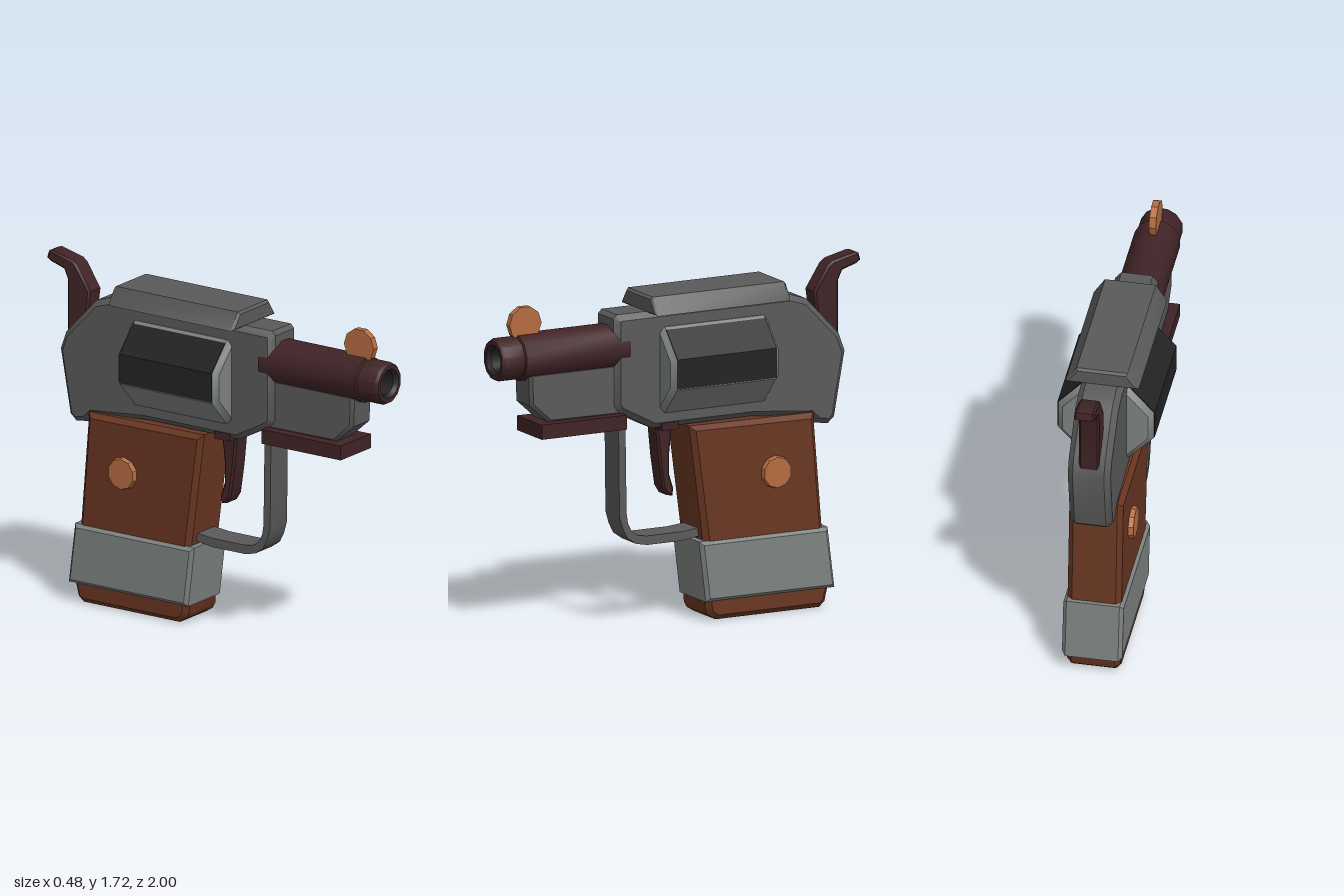
import * as THREE from 'three';
import { toCreasedNormals } from 'three/addons/utils/BufferGeometryUtils.js';

const mat = (name, color) => {
  const m = new THREE.MeshStandardMaterial({ color });
  m.name = name;
  return m;
};

// Centred, chamfered extrusion along z; the bevel stays inside the outline
function extrude(points, depth, bevel) {
  const shape = new THREE.Shape(points.map(([x, y]) => new THREE.Vector2(x, y)));
  const g = new THREE.ExtrudeGeometry(shape, {
    depth: depth - 2 * bevel, bevelEnabled: bevel > 0, bevelThickness: bevel,
    bevelSize: bevel, bevelOffset: -bevel, bevelSegments: 1,
  });
  return g.translate(0, 0, bevel - depth / 2);
}

// Side outline given as [z, y], extruded across the width
const side = (points, width, bevel) => extrude(points, width, bevel).rotateY(-Math.PI / 2);

// Twelve-sided turned part along z, profile given as [radius, z]
const turned = (points) => new THREE.LatheGeometry(points.map(([r, z]) => new THREE.Vector2(r, z)), 12)
  .rotateY(Math.PI / 12).rotateX(Math.PI / 2);

export function createModel() {
  const model = new THREE.Group();
  model.name = 'pistol';
  const steel = mat('dark steel', 0x5a5a5a);
  const silver = mat('light steel', 0x7d8381);
  const wood = mat('wood', 0x693622);
  const copper = mat('copper', 0xb46c40);
  const maroon = mat('dark brown metal', 0x402326);
  const black = mat('black', 0x232323);

  const add = (name, geometry, material, x = 0, y = 0, z = 0) => {
    const mesh = new THREE.Mesh(toCreasedNormals(geometry, 0.6), material);
    mesh.name = name;
    mesh.position.set(x, y, z);
    model.add(mesh);
    return mesh;
  };

  // Frame and the parts fixed to it
  add('frame', side([[0.36, 1.56], [0.38, 1.54], [0.38, 1.11], [0.36, 1.08], [0.17, 0.98],
    [-0.38, 0.98], [-0.69, 0.95], [-0.73, 0.91], [-0.80, 0.90], [-0.835, 0.93], [-0.893, 1.25],
    [-0.86, 1.34], [-0.68, 1.53], [-0.59, 1.56]], 0.21, 0.028), steel);
  add('topPlate', extrude([[-0.18, 1.553], [0.18, 1.553], [0.125, 1.638], [-0.125, 1.638]], 0.745, 0.012),
    steel, 0, 0, -0.173);
  add('underBarrel', side([[0.84, 1.32], [0.835, 1.16], [0.73, 1.065], [0.3, 1.06], [0.3, 1.32]], 0.16, 0.015), steel);
  add('lowerRail', new THREE.BoxGeometry(0.25, 0.072, 0.47), maroon, 0, 1.035, 0.565);

  // Barrel, bore and front sight
  add('barrel', turned([[0, 0.3], [0.115, 0.3], [0.115, 0.875], [0.105, 0.88], [0.105, 0.985],
    [0.095, 1], [0.075, 1]]), maroon, 0, 1.39, 0);
  add('bore', turned([[0.075, 1], [0.06, 0.98], [0.058, 0.88], [0, 0.88]]), black, 0, 1.39, 0);
  add('frontSight', new THREE.CylinderGeometry(0.088, 0.088, 0.034, 10).rotateZ(Math.PI / 2),
    copper, 0, 1.553, 0.83);

  // Octagonal cylinder with dark panels on its upper sides
  add('cylinder', extrude([[0.235, 1.19], [0.235, 1.34], [0.11, 1.48], [-0.11, 1.48],
    [-0.235, 1.34], [-0.235, 1.19], [-0.11, 1.055], [0.11, 1.055]], 0.595, 0.025), silver, 0, 0, -0.158);
  for (const s of [1, -1]) {
    add('cylinderPanel', extrude([[0.239, 1.195], [0.239, 1.342], [0.126, 1.469],
      [0.12, 1.462], [0.232, 1.339], [0.232, 1.195]].map(([x, y]) => [s * x, y]), 0.545, 0), black, 0, 0, -0.158);
  }

  // Hammer
  add('hammer', side([[-0.743, 1.55], [-0.82, 1.67], [-0.845, 1.69], [-0.97, 1.72], [-0.99, 1.715],
    [-1, 1.68], [-0.98, 1.665], [-0.9, 1.64], [-0.877, 1.59], [-0.877, 1.28], [-0.76, 1.3], [-0.76, 1.42]],
  0.1, 0.01), maroon);

  // Trigger and guard
  add('trigger', side([[0.13, 1], [0.112, 0.82], [0.09, 0.67], [0.065, 0.63], [0.035, 0.625],
    [0.03, 0.66], [0.052, 0.73], [0.052, 0.84], [0.035, 1]], 0.1, 0.01), maroon);
  add('triggerBase', new THREE.BoxGeometry(0.2, 0.04, 0.09), maroon, 0, 0.985, 0.08);
  add('triggerGuard', side([[0.348, 1.07], [0.342, 0.56], [0.325, 0.5], [0.3, 0.45], [0.25, 0.415],
    [0.19, 0.403], [0, 0.403], [-0.12, 0.42], [-0.12, 0.46], [0, 0.448], [0.19, 0.448],
    [0.24, 0.455], [0.275, 0.48], [0.295, 0.52], [0.303, 0.57], [0.31, 1.07]], 0.14, 0), steel);

  // Grip, band and medallions
  add('grip', side([[-0.02, 0.975], [-0.096, 0.4], [-0.11, 0.06], [-0.125, 0.03], [-0.165, 0.005],
    [-0.735, 0.005], [-0.765, 0.03], [-0.785, 0.11], [-0.75, 0.4], [-0.703, 0.97]], 0.265, 0.025), wood);
  add('gripBand', side([[-0.063, 0.402], [-0.1, 0.1], [-0.808, 0.1], [-0.77, 0.402]], 0.296, 0.018), silver);
  for (const s of [1, -1]) {
    add('medallion', new THREE.CylinderGeometry(0.076, 0.085, 0.04, 10)
      .rotateY(Math.PI / 10).rotateZ(-s * Math.PI / 2), copper, s * 0.137, 0.705, -0.483);
  }
  return model;
}
